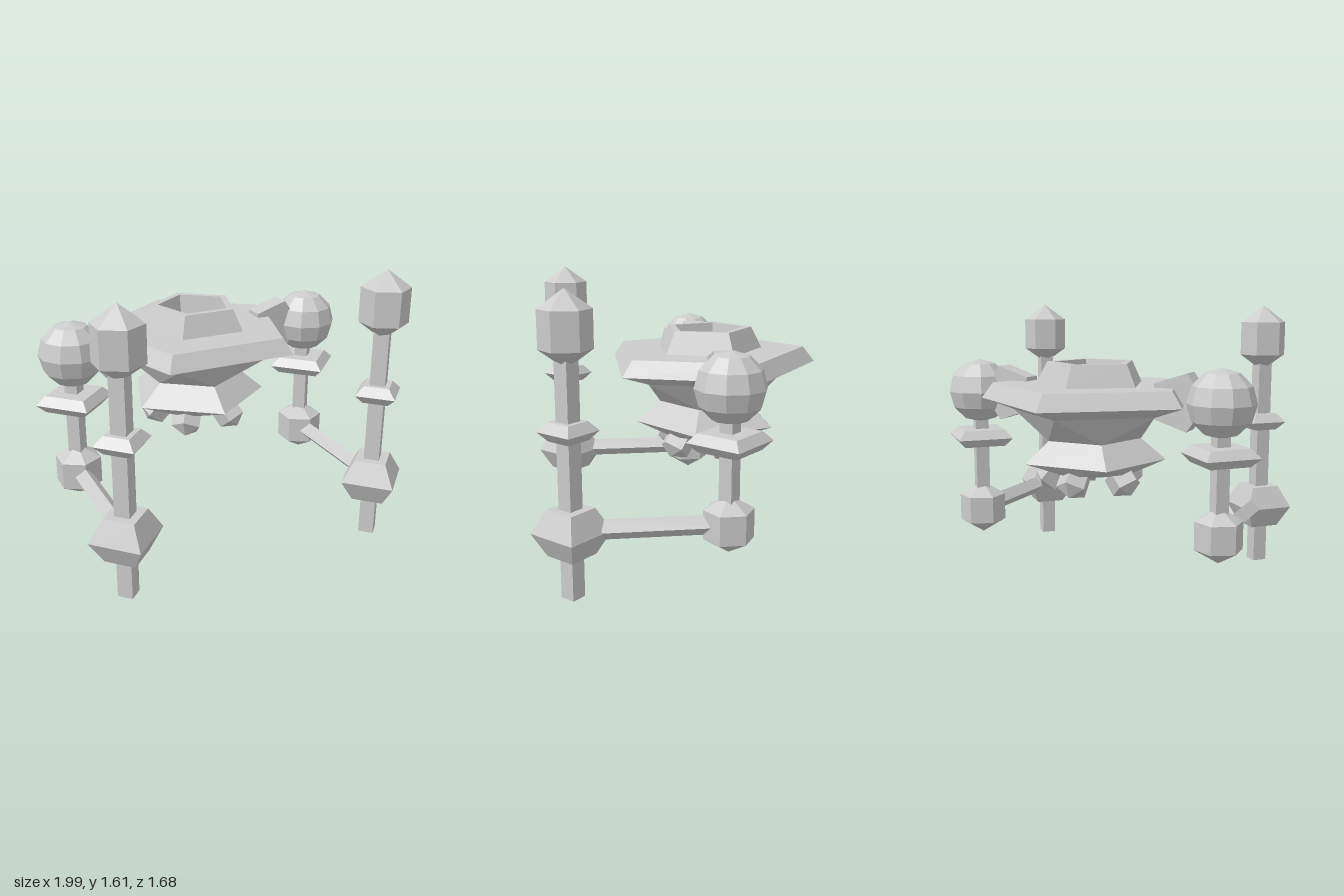
import * as THREE from 'three';

const material = new THREE.MeshStandardMaterial({ color: 0xcccccc, flatShading: true });

function add(parent, name, geometry, x = 0, y = 0, z = 0) {
  const mesh = new THREE.Mesh(geometry, material);
  mesh.name = name;
  mesh.position.set(x, y, z);
  parent.add(mesh);
  return mesh;
}

// Faceted solid from rings [y, radius, twist in half steps], listed top to bottom
function loft(sides, rings, phase = 0) {
  const point = ([y, r, twist = 0], i) => {
    const a = phase + ((i + twist / 2) / sides) * Math.PI * 2;
    return [r * Math.sin(a), y, r * Math.cos(a)];
  };
  const positions = [];
  for (let k = 0; k < rings.length - 1; k++) {
    const up = rings[k], low = rings[k + 1];
    for (let i = 0; i < sides; i++) {
      if (up[1] > 0) positions.push(...point(up, i), ...point(low, i), ...point(up, i + 1));
      if (low[1] > 0) positions.push(...point(low, i), ...point(low, i + 1), ...point(up, i + 1));
    }
  }
  const geometry = new THREE.BufferGeometry();
  geometry.setAttribute('position', new THREE.Float32BufferAttribute(positions, 3));
  geometry.computeVertexNormals();
  return geometry;
}

// Four-sided rod and double-tapered collar, corners facing the axes
const rod = (y0, y1, r) => loft(4, [[y1, 0], [y1, r], [y0, r], [y0, 0]]);
const collar = (h, rMid, rEnd) => loft(4, [[h, 0], [h, rEnd], [0, rMid], [-h, rEnd], [-h, 0]]);
// Hexagonal knob with pointed ends
const knob = (h) => loft(6, [[h, 0], [h / 2, 0.137], [-h / 2, 0.137], [-h, 0]]);

function makeLeg(side) {
  const leg = new THREE.Group();
  leg.name = side > 0 ? 'leftLeg' : 'rightLeg';
  const x = side * 0.767, zf = 0.63, zr = -0.19;

  // Front post
  add(leg, 'frontPost', rod(0, 1.3, 0.061), x, 0, zf);
  add(leg, 'foot', collar(0.126, 0.208, 0.125), x, 0.36, zf);
  add(leg, 'frontCollar', collar(0.05, 0.157, 0.1), x, 0.895, zf);
  add(leg, 'postCap', knob(0.198), x, 1.407, zf);

  // Beam joining the front post to the rear knee
  const beam = add(leg, 'beam', rod(-0.41, 0.41, 0.055), x, 0.365, (zf + zr) / 2);
  beam.rotation.x = Math.PI / 2;

  // Rear upper leg
  add(leg, 'knee', knob(0.16), x, 0.367, zr);
  add(leg, 'rearPost', rod(0.37, 1.0, 0.056), x, 0, zr);
  add(leg, 'rearCollar', collar(0.05, 0.229, 0.17), x, 0.813, zr);
  add(leg, 'shoulder', new THREE.SphereGeometry(0.191, 10, 6).rotateY(Math.PI / 2), x, 1.095, zr);

  // Pentagonal plate joining shoulder and body, point outwards
  const plate = new THREE.CylinderGeometry(0.168, 0.168, 0.12, 5);
  plate.rotateX(Math.PI / 2).rotateZ(Math.PI / 2 * (side > 0 ? 1 : -1));
  // Turn the lowest or highest corner so it faces away from the body
  plate.computeBoundingBox();
  const box = plate.boundingBox;
  if (side * (box.max.x + box.min.x) < 0) plate.rotateZ(Math.PI);
  add(leg, 'shoulderPlate', plate, side * 0.537, 1.095, zr);
  return leg;
}

export function createModel() {
  const model = new THREE.Group();
  model.name = 'walker';

  // Pentagonal body: recessed cup, broad rim, twisted waist and lower skirt
  const body = new THREE.Group();
  body.name = 'body';
  body.position.z = -0.193;
  model.add(body);
  add(body, 'hull', loft(5, [
    [1.18, 0], [1.18, 0.2], [1.295, 0.217], [1.295, 0.262],
    [1.17, 0.326], [1.17, 0.582], [1.08, 0.652], [1.017, 0.463],
    [0.86, 0.28, 1], [0.74, 0.423, 1], [0.665, 0.25, 2], [0.665, 0, 2],
  ], Math.PI));

  // Ring of gem-like pods under the body, tilted outwards
  for (let i = 0; i < 5; i++) {
    const arm = new THREE.Group();
    arm.name = 'podMount';
    arm.rotation.y = Math.PI + (i / 5) * Math.PI * 2;
    const pod = add(arm, 'pod',
      loft(5, [[0.1, 0], [0.05, 0.09], [-0.05, 0.09], [-0.1, 0]]), 0, 0.64, 0.235);
    pod.rotation.x = -0.7;
    body.add(arm);
  }

  for (const side of [1, -1]) model.add(makeLeg(side));
  return model;
}
